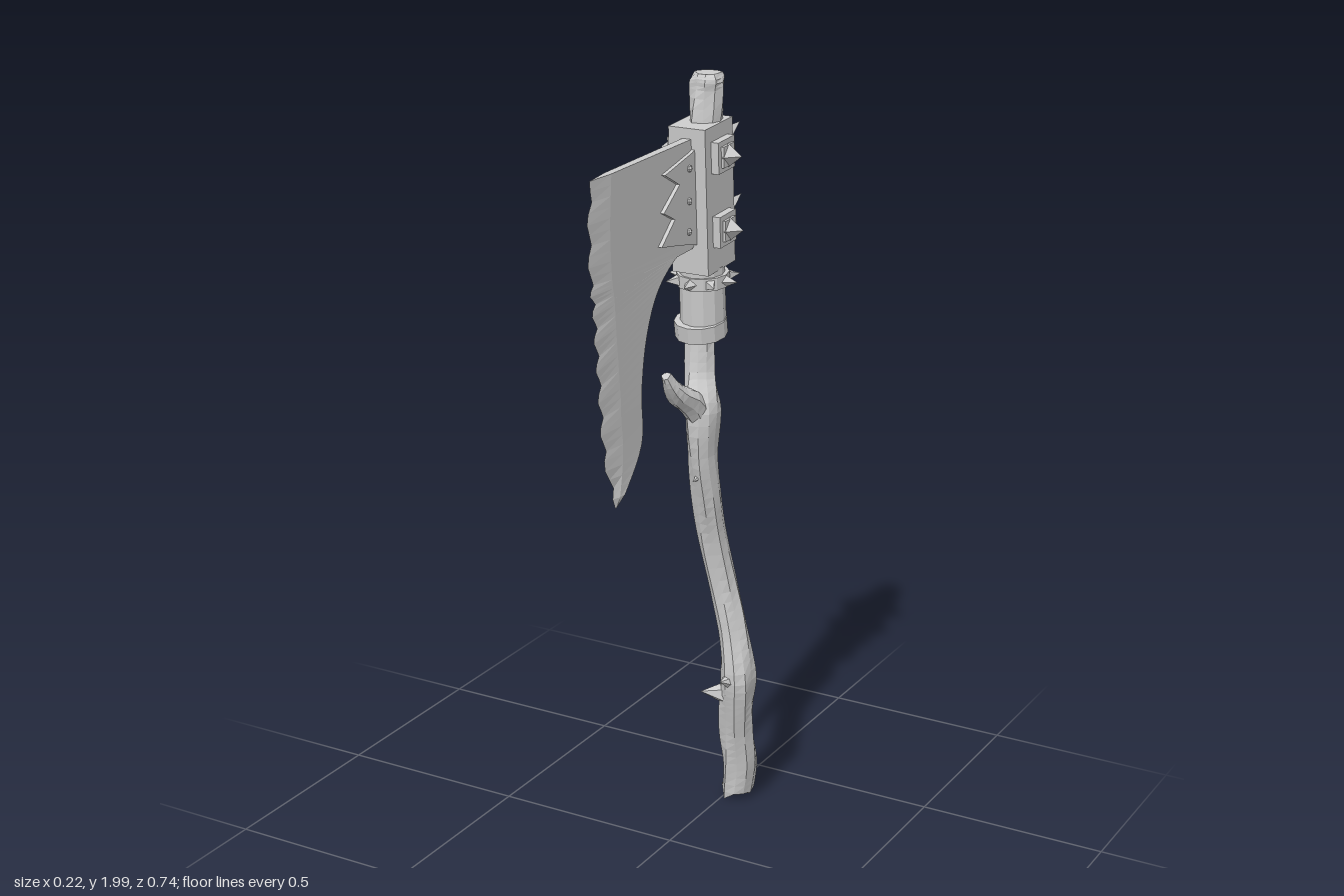
import * as THREE from 'three';

const V = (x, y, z) => new THREE.Vector3(x, y, z);
const material = new THREE.MeshStandardMaterial({ color: 0xcccccc, flatShading: true });

function add(parent, name, geometry, x = 0, y = 0, z = 0) {
  const mesh = new THREE.Mesh(geometry, material);
  mesh.name = name;
  mesh.position.set(x, y, z);
  parent.add(mesh);
  return mesh;
}

// Closed skin over a list of rings, each an equal-length loop of points
function loft(rings) {
  const n = rings[0].length, pos = [], index = [];
  rings.forEach(r => r.forEach(p => pos.push(p.x, p.y, p.z)));
  for (let i = 0; i < rings.length - 1; i++) {
    for (let j = 0; j < n; j++) {
      const k = (j + 1) % n, a = i * n, d = a + n;
      index.push(a + j, a + k, d + k, a + j, d + k, d + j);
    }
  }
  [0, rings.length - 1].forEach(i => {
    const c = rings[i].reduce((s, p) => s.add(p), V(0, 0, 0)).divideScalar(n);
    const ci = pos.length / 3;
    pos.push(c.x, c.y, c.z);
    for (let j = 0; j < n; j++) {
      const a = i * n + j, b = i * n + (j + 1) % n;
      if (i === 0) index.push(ci, b, a);
      else index.push(ci, a, b);
    }
  });
  const g = new THREE.BufferGeometry();
  g.setAttribute('position', new THREE.Float32BufferAttribute(pos, 3));
  g.setIndex(index);
  g.computeVertexNormals();
  return g;
}

// Gnarled wood along stations [x, y, z, radius]
function wood(stations, steps, sides, jag = 0) {
  const path = new THREE.CatmullRomCurve3(stations.map(s => V(s[0], s[1], s[2])));
  const rings = [];
  for (let i = 0; i <= steps; i++) {
    const t = i / steps, f = t * (stations.length - 1);
    const k = Math.min(Math.floor(f), stations.length - 2);
    const radius = THREE.MathUtils.lerp(stations[k][3], stations[k + 1][3], f - k);
    const q = new THREE.Quaternion().setFromUnitVectors(V(0, 1, 0), path.getTangent(t));
    const c = path.getPoint(t), ring = [];
    for (let j = 0; j < sides; j++) {
      const a = j / sides * Math.PI * 2;
      const r = radius * (1 + 0.08 * Math.sin(3 * a + f * 1.3) + 0.05 * Math.sin(5 * a - f * 2.1));
      const p = V(Math.cos(a) * r, 0, -Math.sin(a) * r).applyQuaternion(q).add(c);
      if (i === 0) p.y += jag * (1 + Math.sin(j * 2.4));
      ring.push(p);
    }
    rings.push(ring);
  }
  return loft(rings);
}

// Blade: rows of [edge z, edge y, inner z, inner y] from top to lower point
function bladeGeometry() {
  const rows = [
    [0.365, 1.845, -0.1, 1.855], [0.372, 1.72, -0.1, 1.72], [0.365, 1.6, -0.1, 1.59],
    [0.355, 1.54, -0.02, 1.583], [0.347, 1.46, 0.077, 1.52], [0.337, 1.37, 0.13, 1.425],
    [0.327, 1.27, 0.156, 1.29], [0.31, 1.16, 0.156, 1.16], [0.263, 1.025, 0.258, 1.03]];
  const edge = new THREE.CatmullRomCurve3(rows.map(r => V(0, r[1], r[0])));
  const inner = new THREE.CatmullRomCurve3(rows.map(r => V(0, r[3], r[2])));
  const steps = 40, rings = [], half = 0.012;
  for (let i = 0; i <= steps; i++) {
    const e = edge.getPoint(i / steps), n = inner.getPoint(i / steps);
    const b = e.clone().lerp(n, Math.min(0.45, 0.08 / e.distanceTo(n)));
    // nicks along the cutting edge
    if (i > 0 && i < steps) e.z += [0.006, -0.004, -0.012, 0.002][i % 4];
    const w = i === steps ? 0.003 : half;
    const at = (p, x) => V(x, p.y, p.z);
    rings.push([at(n, w), at(b, w * 0.8), e, at(b, -w * 0.8), at(n, -w)]);
  }
  return loft(rings);
}

// Four-sided spike with its base at the origin, pointing along dir
function spike(parent, name, radius, length, position, dir, sides = 4) {
  const g = new THREE.ConeGeometry(radius, length, sides).translate(0, length / 2, 0);
  const m = add(parent, name, g, ...position);
  m.quaternion.setFromUnitVectors(V(0, 1, 0), V(...dir).normalize());
  return m;
}

export function createModel() {
  const model = new THREE.Group();
  model.name = 'battleAxe';

  // Crooked branch handle
  add(model, 'handle', wood([
    [0.025, 0.01, -0.318, 0.042], [0.04, 0.12, -0.308, 0.046], [0.045, 0.22, -0.285, 0.044],
    [0.055, 0.32, -0.262, 0.046], [0.064, 0.4, -0.247, 0.046], [0.046, 0.52, -0.252, 0.038],
    [0.023, 0.64, -0.246, 0.037], [0.003, 0.8, -0.216, 0.038], [0.005, 0.92, -0.182, 0.039],
    [0.006, 1.04, -0.152, 0.038], [0.008, 1.16, -0.146, 0.046], [-0.008, 1.24, -0.168, 0.037],
    [-0.012, 1.36, -0.178, 0.036]], 52, 10, 0.018));
  add(model, 'handleTop', wood([
    [0, 1.82, -0.16, 0.038], [0.004, 1.9, -0.168, 0.041], [0.006, 1.96, -0.172, 0.04],
    [0.007, 1.985, -0.172, 0.042], [0.007, 2, -0.172, 0.032]], 10, 10));
  add(model, 'sideBranch', wood([
    [0.01, 1.12, -0.148, 0.03], [0, 1.185, -0.105, 0.035], [-0.008, 1.215, -0.06, 0.028],
    [-0.012, 1.25, -0.026, 0.02], [-0.014, 1.28, -0.005, 0.012]], 10, 8));
  // Broken twig stubs
  spike(model, 'lowerTwigStub', 0.04, 0.085, [0.045, 0.34, -0.255], [-0.75, 0, 0.3], 6);
  spike(model, 'frontTwigStub', 0.04, 0.075, [0.062, 0.385, -0.25], [-0.2, 0.25, 1], 6);
  spike(model, 'upperTwigStub', 0.02, 0.06, [0.004, 0.98, -0.168], [0, -0.1, 1], 5);

  // Blade and the toothed plate that grips it
  add(model, 'blade', bladeGeometry());
  const outline = [[-0.11, 1.84], [-0.07, 1.825], [0.06, 1.797], [-0.01, 1.76], [0.065, 1.706],
    [0.012, 1.68], [0.075, 1.626], [-0.02, 1.61], [-0.11, 1.59]];
  const plate = new THREE.ExtrudeGeometry(
    new THREE.Shape(outline.map(p => new THREE.Vector2(...p))), { depth: 0.042, bevelEnabled: false });
  add(model, 'toothedPlate', plate.translate(0, 0, -0.021).rotateY(-Math.PI / 2));
  for (const s of [-1, 1]) {
    for (const y of [1.79, 1.71, 1.635]) {
      add(model, 'rivet', new THREE.SphereGeometry(0.009, 6, 4), s * 0.021, y, -0.055);
    }
  }

  // Metal head, leaning slightly forward
  const head = new THREE.Group();
  head.name = 'head';
  head.position.set(0, 1.52, -0.17);
  head.rotation.x = 0.06;
  model.add(head);
  add(head, 'socketBox', new THREE.BoxGeometry(0.1, 0.365, 0.138), 0, 0.183, 0);

  // Square studs on both sides, long spikes on the back
  for (const y of [0.105, 0.29]) {
    for (const s of [-1, 1]) {
      add(head, 'studPlate', new THREE.BoxGeometry(0.024, 0.078, 0.082), s * 0.058, y, 0);
      add(head, 'studBase', new THREE.BoxGeometry(0.008, 0.052, 0.054), s * 0.073, y, 0);
      spike(head, 'sideSpike', 0.03, 0.037, [s * 0.074, y, 0], [s, 0, 0]);
    }
    add(head, 'backPlate', new THREE.BoxGeometry(0.072, 0.078, 0.014), 0, y, -0.073);
    spike(head, 'backSpike', 0.034, 0.128, [0, y, -0.073], [0, 0.2, -1]);
  }

  // Sleeve, lower collar and spiked ring
  add(head, 'sleeve', new THREE.CylinderGeometry(0.056, 0.058, 0.18, 12), -0.004, -0.085, 0.004);
  add(head, 'collar', new THREE.CylinderGeometry(0.066, 0.066, 0.042, 12), -0.008, -0.155, 0.01).rotation.x = 0.1;
  add(head, 'spikedRing', new THREE.CylinderGeometry(0.066, 0.066, 0.032, 12), -0.004, -0.03, 0);
  for (let i = 0; i < 8; i++) {
    const a = i * Math.PI / 4, c = Math.cos(a), s = Math.sin(a);
    spike(head, 'ringSpike', 0.016, 0.034, [-0.004 + c * 0.062, -0.03, s * 0.062], [c, 0, s]);
  }
  return model;
}
